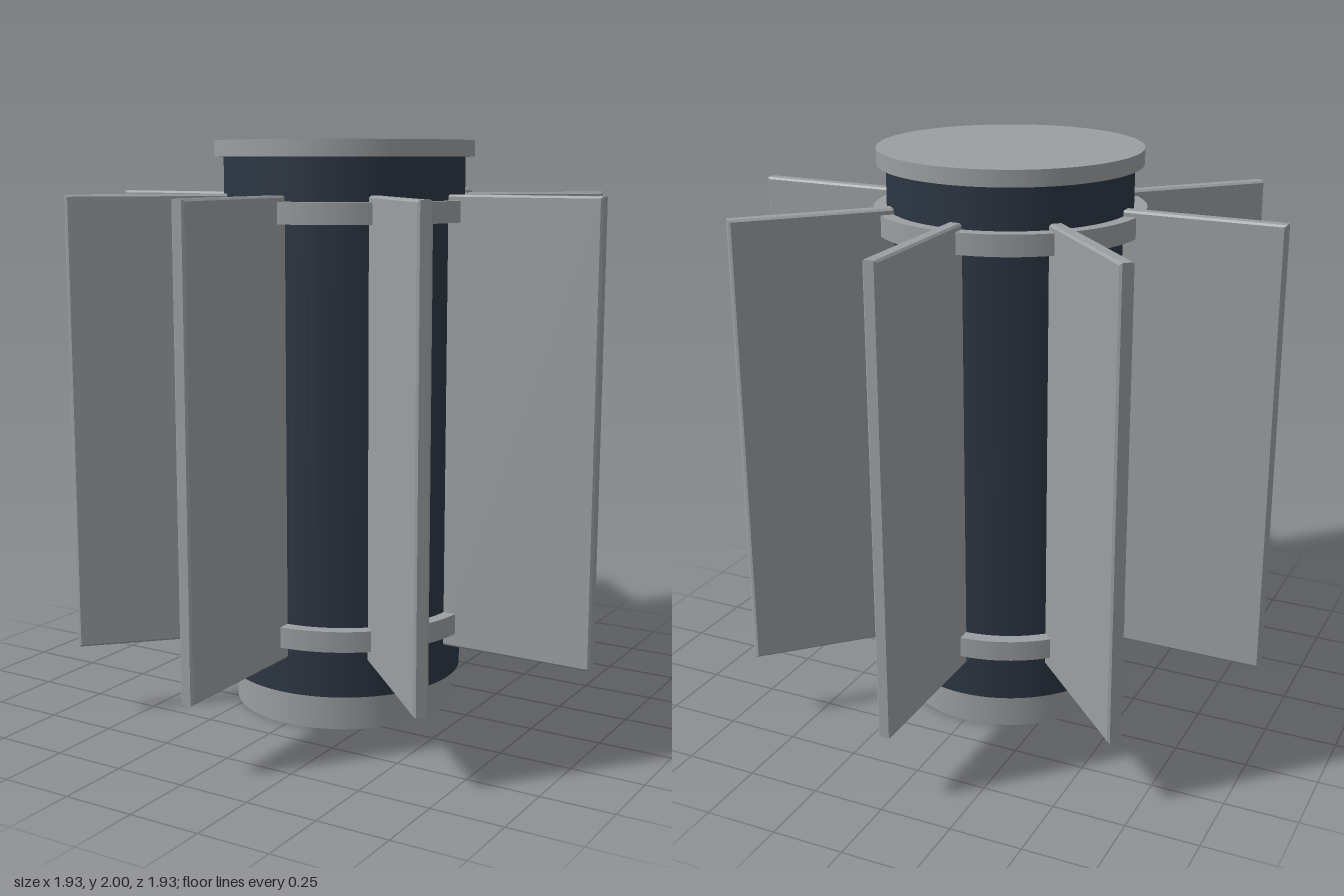
import * as THREE from 'three';

export function createModel() {
  const model = new THREE.Group();
  const grey = new THREE.MeshStandardMaterial({ color: 0x9b9fa1 });
  grey.name = 'light grey metal';
  const navy = new THREE.MeshStandardMaterial({ color: 0x2c3643 });
  navy.name = 'dark navy casing';

  const add = (name, geometry, material) => {
    const mesh = new THREE.Mesh(geometry, material);
    mesh.name = name;
    model.add(mesh);
    return mesh;
  };
  const drum = (name, radius, bottom, top, material) => {
    const mesh = add(name, new THREE.CylinderGeometry(radius, radius, top - bottom, 72), material);
    mesh.position.y = (bottom + top) / 2;
  };

  // Central column
  drum('base', 0.392, 0, 0.125, grey);
  drum('body', 0.42, 0.125, 1.945, navy);
  drum('topCap', 0.452, 1.945, 2, grey);

  // Retaining bands around the body: closed rectangular profile, sharp edges
  const ring = (name, bottom, top) => {
    const shape = new THREE.Shape().absarc(0, 0, 0.465, 0, Math.PI * 2);
    shape.holes.push(new THREE.Path().absarc(0, 0, 0.415, 0, Math.PI * 2, true));
    const geometry = new THREE.ExtrudeGeometry(shape, {
      depth: top - bottom, bevelEnabled: false, curveSegments: 72,
    });
    geometry.rotateX(-Math.PI / 2);
    add(name, geometry, grey).position.y = bottom;
  };
  ring('lowerBand', 0.3, 0.372);
  ring('upperBand', 1.728, 1.8);

  // Eight radial fins with small chamfers
  const b = 0.007, inner = 0.39, outer = 0.965, low = 0.25, high = 1.82, thick = 0.048;
  const outline = new THREE.Shape();
  outline.moveTo(inner + b, low + b);
  outline.lineTo(outer - b, low + b);
  outline.lineTo(outer - b, high - b);
  outline.lineTo(inner + b, high - b);
  outline.closePath();
  const finGeometry = new THREE.ExtrudeGeometry(outline, {
    depth: thick - 2 * b, bevelEnabled: true, bevelThickness: b, bevelSize: b, bevelSegments: 1,
  });
  finGeometry.translate(0, 0, b - thick / 2);
  for (let i = 0; i < 8; i++) {
    add('fin' + (i + 1), finGeometry, grey).rotation.y = (i * Math.PI) / 4;
  }

  return model;
}
